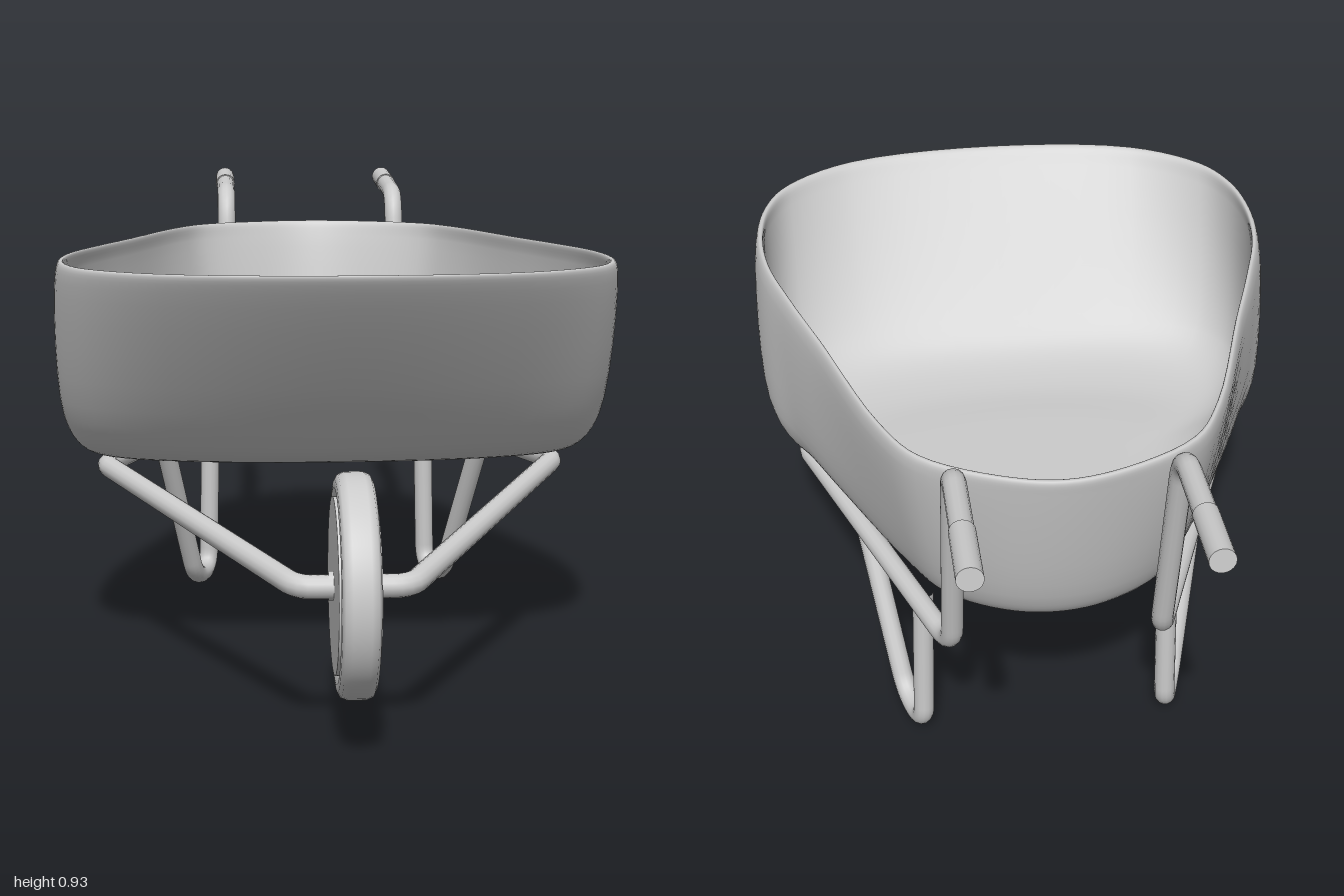
import * as THREE from 'three';
import { mergeVertices } from 'three/addons/utils/BufferGeometryUtils.js';

const material = new THREE.MeshStandardMaterial({ color: 0xcccccc });

function add(parent, name, geometry) {
  const mesh = new THREE.Mesh(geometry, material);
  mesh.name = name;
  parent.add(mesh);
  return mesh;
}

// Tube along straight runs joined by rounded corners: points are [x, y, z, cornerLength]
function bentTube(points, radius, segments) {
  const path = new THREE.CurvePath();
  const p = points.map(([x, y, z]) => new THREE.Vector3(x, y, z));
  let from = p[0];
  for (let i = 1; i < p.length - 1; i++) {
    const r = points[i][3];
    const a = p[i].clone().add(p[i - 1].clone().sub(p[i]).setLength(r));
    const b = p[i].clone().add(p[i + 1].clone().sub(p[i]).setLength(r));
    path.add(new THREE.LineCurve3(from, a));
    path.add(new THREE.QuadraticBezierCurve3(a, p[i], b));
    from = b;
  }
  path.add(new THREE.LineCurve3(from, p[p.length - 1]));
  return new THREE.TubeGeometry(path, segments, radius, 14, false);
}

// Half outlines of the tub from back centre to front centre, as [x, z]
const floorLine = [[0, -.48], [.08, -.465], [.165, -.415], [.22, -.33], [.325, -.1], [.39, .02],
  [.45, .1], [.46, .15], [.44, .19], [.39, .225], [.25, .262], [0, .28]];
const bellyLine = [[0, -.57], [.11, -.55], [.225, -.48], [.29, -.38], [.415, -.12], [.48, .03],
  [.53, .14], [.543, .23], [.525, .31], [.47, .375], [.31, .435], [0, .455]];
const rimLine = [[0, -.635], [.12, -.61], [.262, -.532], [.33, -.42], [.43, -.13], [.49, .04],
  [.535, .19], [.547, .32], [.53, .44], [.48, .535], [.33, .633], [0, .675]];

// Mirrors a half outline into a smooth closed ring of points
function ring(half, y, count) {
  const loop = [...half, ...half.slice(1, -1).reverse().map(([x, z]) => [-x, z])];
  const curve = new THREE.CatmullRomCurve3(loop.map(([x, z]) => new THREE.Vector3(x, y, z)), true);
  return Array.from({ length: count }, (_, i) => curve.getPoint(i / count));
}

function tubGeometry() {
  const rows = 72, columns = 110;
  const edgeLine = floorLine.map(([x, z], i) =>
    [x + (bellyLine[i][0] - x) * 0.62, z + (bellyLine[i][1] - z) * 0.58]);
  const lipLine = rimLine.map(([x, z]) => [x * 0.982, z * 1.018 + 0.008]);
  // inset is the width of the inner skin relative to the outer, lift raises its floor
  const levels = [
    { line: floorLine, y: 0.402, inset: 0.86, lift: 0.022 },
    { line: edgeLine, y: 0.43, inset: 0.91, lift: 0.02 },
    { line: bellyLine, y: 0.5, inset: 0.945, lift: 0.012 },
    { line: rimLine, y: 0.78, inset: 0.968, lift: 0 },
    { line: lipLine, y: 0.817, inset: 0.985, lift: 0 },
  ];
  const rings = levels.map(({ line, y }) => ring(line, y, columns));
  const positions = [], index = [];
  for (let i = 0; i < columns; i++) {
    const outer = rings.map(r => r[i]);
    const inner = outer.map((p, k) => {
      const { inset, lift } = levels[k];
      const along = Math.max(inset, 0.96);
      return new THREE.Vector3(p.x * inset, p.y + lift, (p.z - 0.03) * along + 0.03);
    }).reverse();
    const toCentre = (p, s) => new THREE.Vector3(p.x * s, p.y, -0.05 + (p.z + 0.05) * s);
    const profile = new THREE.CatmullRomCurve3([
      toCentre(outer[0], 0), toCentre(outer[0], 0.6), ...outer,
      ...inner, toCentre(inner[4], 0.6), toCentre(inner[4], 0),
    ]);
    for (let j = 0; j <= rows; j++) positions.push(...profile.getPoint(j / rows).toArray());
  }
  for (let i = 0; i < columns; i++) {
    for (let j = 0; j < rows; j++) {
      const a = i * (rows + 1) + j, b = ((i + 1) % columns) * (rows + 1) + j;
      index.push(a, a + 1, b, b, a + 1, b + 1);
    }
  }
  const geometry = new THREE.BufferGeometry();
  geometry.setAttribute('position', new THREE.Float32BufferAttribute(positions, 3));
  geometry.setIndex(index);
  const welded = mergeVertices(geometry, 1e-5);
  welded.computeVertexNormals();
  return welded;
}

function createWheel() {
  const wheel = new THREE.Group();
  wheel.name = 'wheel';
  // Tyre with rounded shoulders, dipping where it meets the disc
  const halfTyre = [[.15, .026], [.162, .031], [.172, .034], [.185, .033], [.195, .028], [.2, .016]];
  const tyre = [...halfTyre.map(([r, y]) => [r, -y]), ...halfTyre.reverse()];
  add(wheel, 'tyre', new THREE.LatheGeometry(tyre.map(([r, y]) => new THREE.Vector2(r, y)), 64));
  add(wheel, 'wheelDisc', new THREE.CylinderGeometry(0.157, 0.157, 0.074, 64));
  add(wheel, 'hub', new THREE.CylinderGeometry(0.026, 0.026, 0.092, 24));
  wheel.rotation.z = Math.PI / 2;
  wheel.position.set(0, 0.285, 0.8);
  return wheel;
}

function createSide(side) {
  const group = new THREE.Group();
  group.name = side > 0 ? 'leftFrame' : 'rightFrame';
  const mirror = pts => pts.map(([x, y, z, r]) => [x * side, y, z, r]);

  // One tube runs from the axle under the tub and up to the handle
  add(group, 'frameTube', bentTube(mirror([
    [0, .285, .808], [.10, .285, .808, .03], [.465, .376, .15, .025], [.204, .376, -.545, .06],
    [.204, .88, -.665, .06], [.204, .905, -.99],
  ]), 0.0215, 180));

  // V-shaped leg with a rounded foot
  add(group, 'leg', bentTube(mirror([
    [.352, .375, -.12], [.286, .021, -.277, .05], [.256, .021, -.374, .05], [.248, .375, -.372],
  ]), 0.0215, 100));

  // Grip over the end of the handle
  const grip = add(group, 'grip', new THREE.CylinderGeometry(0.0235, 0.0235, 0.14, 20));
  grip.position.set(0.204 * side, 0.9005, -0.929);
  grip.rotation.x = -Math.PI / 2 + 0.077;
  return group;
}

export function createModel() {
  const model = new THREE.Group();
  model.name = 'wheelbarrow';
  add(model, 'tub', tubGeometry());
  model.add(createWheel());
  for (const side of [1, -1]) model.add(createSide(side));
  return model;
}
